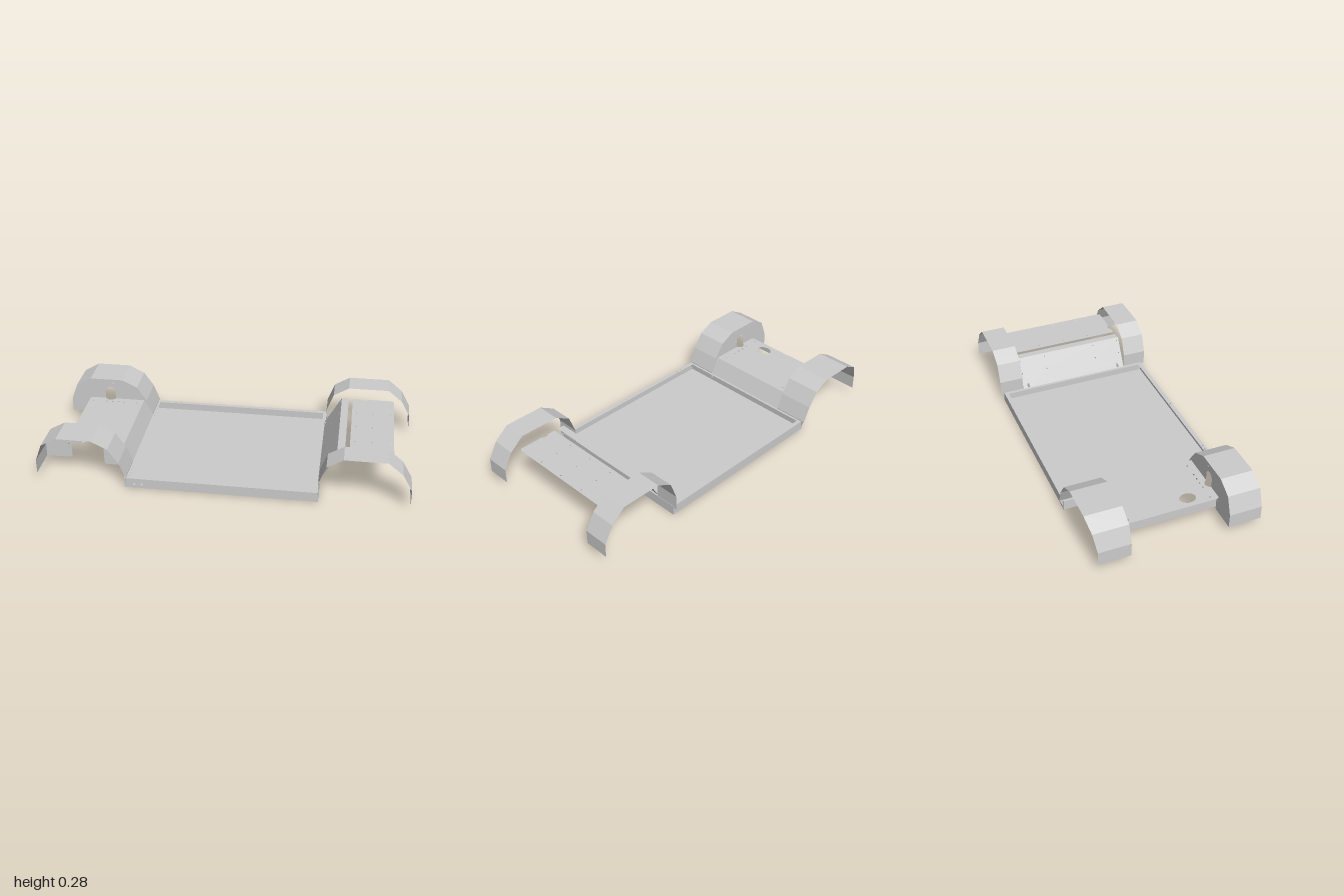
import * as THREE from 'three';

const metal = new THREE.MeshStandardMaterial({ color: 0xcccccc, side: THREE.DoubleSide, flatShading: true });

function add(parent, name, geometry) {
  const mesh = new THREE.Mesh(geometry, metal);
  mesh.name = name;
  parent.add(mesh);
  return mesh;
}

// Folded sheet: an (x, y) profile swept between two edges; an edge is a z or one z per point
function foldedSheet(profile, zA, zB) {
  const at = (z, i) => (Array.isArray(z) ? z[i] : z);
  const pos = [];
  for (let i = 0; i < profile.length - 1; i++) {
    const [x0, y0] = profile[i], [x1, y1] = profile[i + 1];
    const a = [x0, y0, at(zA, i)], b = [x1, y1, at(zA, i + 1)];
    const c = [x1, y1, at(zB, i + 1)], d = [x0, y0, at(zB, i)];
    pos.push(...a, ...d, ...c, ...a, ...c, ...b);
  }
  const g = new THREE.BufferGeometry();
  g.setAttribute('position', new THREE.Float32BufferAttribute(pos, 3));
  g.computeVertexNormals();
  return g;
}

const shapeOf = (pts) => new THREE.Shape(pts.map(([x, y]) => new THREE.Vector2(x, y)));
const rect = (x0, y0, x1, y1) => shapeOf([[x0, y0], [x1, y0], [x1, y1], [x0, y1]]);
function hole(shape, x, y, rx = 0.004, ry = rx) {
  shape.holes.push(new THREE.Path().absellipse(x, y, rx, ry, 0, Math.PI * 2));
}

// Flat plate drawn in (x, z), facing up at height y
function flatPlate(shape, y) {
  return new THREE.ShapeGeometry(shape, 8).rotateX(Math.PI / 2).translate(0, y, 0);
}

function buildTray() {
  const tray = new THREE.Group();
  tray.name = 'floorTray';
  const X = 0.515, Z = 0.437, H = 0.055, lip = 0.023;
  add(tray, 'floor', flatPlate(rect(-X, -Z, X, Z), 0.002));
  for (const s of [-1, 1]) {
    const wall = rect(-X, 0, X, H);
    if (s > 0) for (const x of [-0.46, -0.42]) hole(wall, x, 0.022, 0.006);
    add(tray, 'sideWall', new THREE.ShapeGeometry(wall, 6).translate(0, 0, s * Z));
    add(tray, 'endWall', foldedSheet([[s * X, 0], [s * X, H]], -Z, Z));
  }
  // Inward rim around the top of the walls
  const rim = rect(-X, -Z, X, Z);
  rim.holes.push(rect(-X + lip, -Z + lip, X - lip, Z - lip));
  for (const s of [-1, 1]) for (const x of [-0.4, -0.37, 0.05]) hole(rim, x, s * (Z - lip / 2));
  add(tray, 'rim', flatPlate(rim, H));
  return tray;
}

// Closed wheel housings with the raised deck between them
function buildHousings() {
  const group = new THREE.Group();
  group.name = 'wheelHousings';
  const arch = [[-0.99, 0.05], [-0.99, 0.125], [-0.955, 0.22], [-0.87, 0.267],
    [-0.68, 0.267], [-0.595, 0.225], [-0.54, 0.145], [-0.505, 0.06], [-0.505, 0.022]];
  for (const s of [-1, 1]) {
    const outer = s > 0 ? 0.44 : [-0.435, -0.435, -0.45, -0.46, -0.46, -0.46, -0.46, -0.455, -0.44];
    add(group, 'wheelArch', foldedSheet(arch, s * 0.262, outer));

    // Inner plate with a rounded axle cutout below and an arched window above
    const p = shapeOf(arch);
    p.lineTo(-0.65, 0.022);
    p.quadraticCurveTo(-0.667, 0.022, -0.667, 0.04);
    p.lineTo(-0.667, 0.125);
    p.quadraticCurveTo(-0.667, 0.145, -0.685, 0.145);
    p.lineTo(-0.725, 0.145);
    p.lineTo(-0.725, 0.19);
    p.absarc(-0.755, 0.19, 0.03, 0, Math.PI, false);
    p.lineTo(-0.785, 0.145);
    p.lineTo(-0.825, 0.145);
    p.quadraticCurveTo(-0.845, 0.145, -0.845, 0.125);
    p.lineTo(-0.845, 0.065);
    p.quadraticCurveTo(-0.845, 0.05, -0.86, 0.05);
    p.closePath();
    for (const [x, y] of [[-0.86, 0.115], [-0.86, 0.135], [-0.595, 0.115], [-0.595, 0.135], [-0.735, 0.245]]) hole(p, x, y);
    add(group, 'innerPlate', new THREE.ShapeGeometry(p, 10).translate(0, 0, s * 0.262));
  }

  // Deck with scalloped sides, an oval opening and rivet holes
  const d = new THREE.Shape();
  d.moveTo(-0.875, -0.245);
  d.quadraticCurveTo(-0.875, -0.262, -0.858, -0.262);
  d.lineTo(-0.785, -0.262);
  d.quadraticCurveTo(-0.755, -0.218, -0.725, -0.262);
  d.lineTo(-0.555, -0.262);
  d.lineTo(-0.555, 0.262);
  d.lineTo(-0.725, 0.262);
  d.quadraticCurveTo(-0.755, 0.218, -0.785, 0.262);
  d.lineTo(-0.858, 0.262);
  d.quadraticCurveTo(-0.875, 0.262, -0.875, 0.245);
  d.closePath();
  hole(d, -0.815, 0.115, 0.034, 0.044);
  for (const s of [-1, 1]) for (const x of [-0.85, -0.77, -0.735, -0.7, -0.665, -0.59]) hole(d, x, s * 0.222, 0.005);
  add(group, 'deck', flatPlate(d, 0.145));
  add(group, 'deckLip', foldedSheet([[-0.875, 0.145], [-0.875, 0.095]], -0.245, 0.245));
  add(group, 'deckRiser', foldedSheet([[-0.555, 0.145], [-0.505, 0.055]], -0.262, 0.262));
  return group;
}

// Open wheel arches with the split deck between them
function buildOpenEnd() {
  const group = new THREE.Group();
  group.name = 'openEnd';
  const arch = [[0.513, 0.045], [0.513, 0.13], [0.55, 0.23], [0.635, 0.28],
    [0.86, 0.28], [0.938, 0.215], [0.988, 0.125], [0.988, 0.045]];
  for (const [a, b] of [[0.327, 0.46], [-0.32, -0.456]]) add(group, 'openArch', foldedSheet(arch, a, b));

  // Sloping panel, drawn flat along its length and then tilted into place
  const length = Math.hypot(0.09, 0.16);
  const slope = rect(0, -0.318, length, 0.322);
  for (const s of [-1, 1]) {
    slope.holes.push(rect(0.003, s * 0.285 - 0.006, 0.026, s * 0.285 + 0.006));
    for (const z of [0.155, 0.308]) for (const t of [0.09, 0.165]) hole(slope, t, s * z);
  }
  const panel = add(group, 'slopingPanel', flatPlate(slope, 0));
  panel.position.set(0.507, 0.055, 0);
  panel.rotation.z = Math.atan2(0.16, 0.09);
  add(group, 'panelTop', foldedSheet([[0.597, 0.215], [0.637, 0.215]], -0.318, 0.318));

  // Rear deck with small side notches
  const deck = shapeOf([[0.66, -0.318], [0.705, -0.318], [0.712, -0.305], [0.738, -0.305], [0.745, -0.318],
    [0.885, -0.318], [0.892, -0.308], [0.892, 0.306], [0.885, 0.316], [0.745, 0.316], [0.738, 0.305],
    [0.712, 0.305], [0.705, 0.316], [0.66, 0.316]]);
  for (const z of [-0.155, 0, 0.155]) for (const x of [0.685, 0.775, 0.875]) hole(deck, x, z);
  add(group, 'upperDeck', flatPlate(deck, 0.215));
  return group;
}

export function createModel() {
  const model = new THREE.Group();
  model.name = 'vehicleFloorPan';
  model.add(buildTray(), buildHousings(), buildOpenEnd());
  return model;
}
